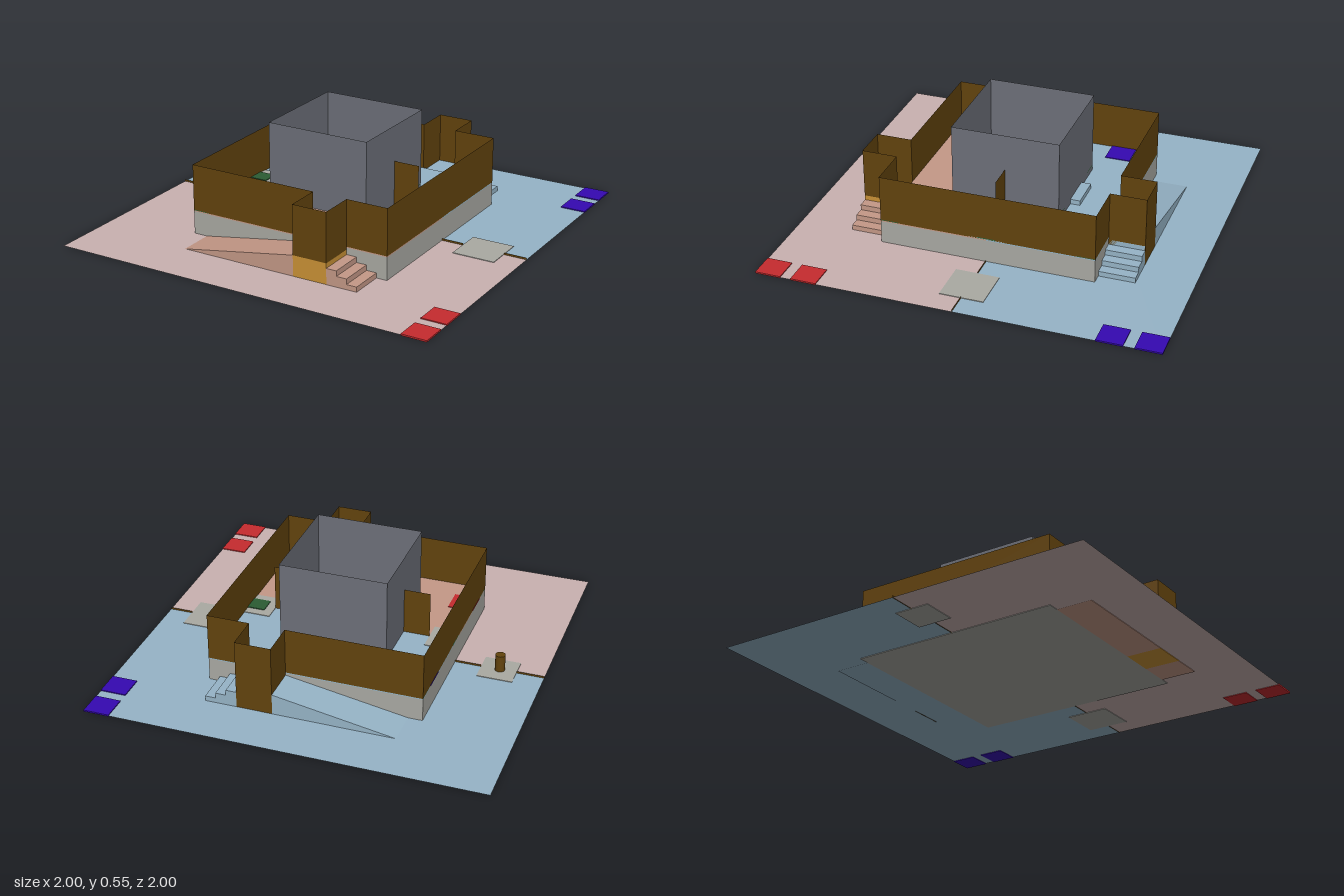
import * as THREE from 'three';

const DS = THREE.DoubleSide;
const mat = (name, color, side = THREE.FrontSide) =>
  Object.assign(new THREE.MeshStandardMaterial({ color, side }), { name });

export function createModel() {
  const model = new THREE.Group();
  model.name = 'arena';
  const M = {
    brown: mat('brown', 0x63430d, DS),
    slate: mat('slate grey', 0x6d7079, DS),
    grey: mat('light grey', 0xaaaaa3),
    pink: mat('pale pink', 0xc9b2b1, DS),
    sky: mat('pale blue', 0x96b4c7, DS),
    salmon: mat('salmon', 0xc59987),
    yellow: mat('ochre', 0xca9236),
    red: mat('red', 0xc62b2e),
    blue: mat('deep blue', 0x3509b2),
    green: mat('green', 0x2b5c33),
  };

  const add = (name, geometry, material, x = 0, y = 0, z = 0) => {
    const m = new THREE.Mesh(geometry, material);
    m.name = name;
    m.position.set(x, y, z);
    model.add(m);
    return m;
  };
  // box given by its extents
  const box = (name, material, x0, x1, y0, y1, z0, z1) =>
    add(name, new THREE.BoxGeometry(x1 - x0, y1 - y0, z1 - z0), material,
      (x0 + x1) / 2, (y0 + y1) / 2, (z0 + z1) / 2);
  // thin upright panel between two floor points
  const panel = (name, material, [xa, za], [xb, zb], y0, y1) => {
    const m = add(name, new THREE.PlaneGeometry(Math.hypot(xb - xa, zb - za), y1 - y0), material,
      (xa + xb) / 2, (y0 + y1) / 2, (za + zb) / 2);
    m.rotation.y = -Math.atan2(zb - za, xb - xa);
    return m;
  };
  // square marker or pad lying on a floor
  const tile = (name, material, x, z, size, y, h = 0.004) =>
    box(name, material, x - size / 2, x + size / 2, y, y + h, z - size / 2, z + size / 2);

  const W = 0.545, OUT = 0.727, BASE = 0.12, DECK = 0.125, TOP = 0.365;
  const L0 = 0.145, L1 = 0.327; // landing extent in x
  const T = 0.275, FLOOR = 0.15; // inner tower

  // raised base
  box('platformBase', M.grey, -W, W, 0, BASE, -W, W);

  for (const s of [1, -1]) {
    const front = s > 0;
    const deckMat = front ? M.salmon : M.sky;
    const side = front ? 'front' : 'back';
    const zBox = (name, m, x0, x1, y0, y1, za, zb) =>
      box(name, m, x0, x1, y0, y1, Math.min(za * s, zb * s), Math.max(za * s, zb * s));

    // ground half
    const ground = add(side + 'Ground', new THREE.PlaneGeometry(2, 1), front ? M.pink : M.sky, 0, 0.003, s * 0.5);
    ground.rotation.x = -Math.PI / 2;

    // deck and the low step before the tower
    zBox(side + 'Deck', deckMat, -W, W, BASE, DECK, 0, W);
    zBox(side + 'TowerStep', deckMat, -0.09, 0.09, DECK, FLOOR, T, 0.325);

    // ramp
    const ramp = new THREE.Shape([[-0.49, 0], [L0, 0], [L0, 0.11]].map(p => new THREE.Vector2(...p)));
    const depth = OUT - W;
    add(side + 'Ramp', new THREE.ExtrudeGeometry(ramp, { depth, bevelEnabled: false }), deckMat,
      0, 0, front ? W : -OUT);

    // landing
    zBox(side + 'Landing', front ? M.yellow : M.sky, L0, L1, 0, 0.11, W, front ? OUT : OUT - 0.003);

    // stairs
    for (let i = 0; i < 3; i++)
      zBox(side + 'Stair', deckMat, L1 + i * 0.054, L1 + (i + 1) * 0.054, 0, 0.085 - i * 0.028, W, OUT);

    // wall that steps out around the landing
    const path = [[-W, W], [L0, W], [L0, OUT], [L1, OUT], [L1, W], [W, W]].map(([x, z]) => [x, z * s]);
    const low = front ? 0.11 : 0;
    path.slice(1).forEach((p, i) =>
      panel(side + 'Wall', M.brown, path[i], p, i > 0 && i < 4 ? low : DECK, TOP));

    // side walls, tower walls and dividers
    panel('sideWall', M.brown, [s * W, -W], [s * W, W], DECK, TOP);
    panel('towerWall', M.slate, [-T, s * T], [T, s * T], DECK, 0.55);
    panel('towerWall', M.slate, [s * T, -T], [s * T, T], DECK, 0.55);
    panel('divider', M.brown, [s * T, 0], [s * 0.41, 0], DECK, TOP);

    // coloured markers
    const markMat = front ? M.red : M.blue;
    for (const z of [0.935, 0.752]) tile('groundMarker', markMat, 0.935, s * z, 0.13, 0, 0.008);
    tile('deckMarker', markMat, -0.482, s * 0.365, 0.13, DECK);
    for (const x of [-1, 1]) {
      tile('cornerMarker', M.green, x * 0.5, s * 0.5, 0.09, DECK);
      tile('towerMarker', M.green, x * 0.23, s * 0.23, 0.09, FLOOR);
    }

    // middle pads on the deck
    box('deckPad', M.grey, s > 0 ? 0.41 : -W, s > 0 ? W : -0.41, DECK, DECK + 0.003, -0.09, 0.09);
    tile('middleMarker', M.green, s * 0.5, 0, 0.09, DECK, 0.007);
  }

  // tower floor
  box('towerFloor', M.grey, -T + 0.002, T - 0.002, DECK, FLOOR, -T + 0.002, T - 0.002);

  // ground pads and the centre line between them
  tile('leftPad', M.grey, 0.77, 0, 0.22, 0, 0.006);
  tile('rightPad', M.grey, -0.77, 0, 0.18, 0, 0.006);
  for (const [a, b] of [[-1, -0.86], [-0.68, -W], [W, 0.66], [0.88, 1]])
    panel('centreLine', M.brown, [a, 0], [b, 0], 0, 0.013);

  // posts
  for (const [x, y] of [[-0.775, 0.003], [0, FLOOR]])
    add('post', new THREE.CylinderGeometry(0.025, 0.025, 0.09, 24), M.brown, x, y + 0.045, 0);

  return model;
}
